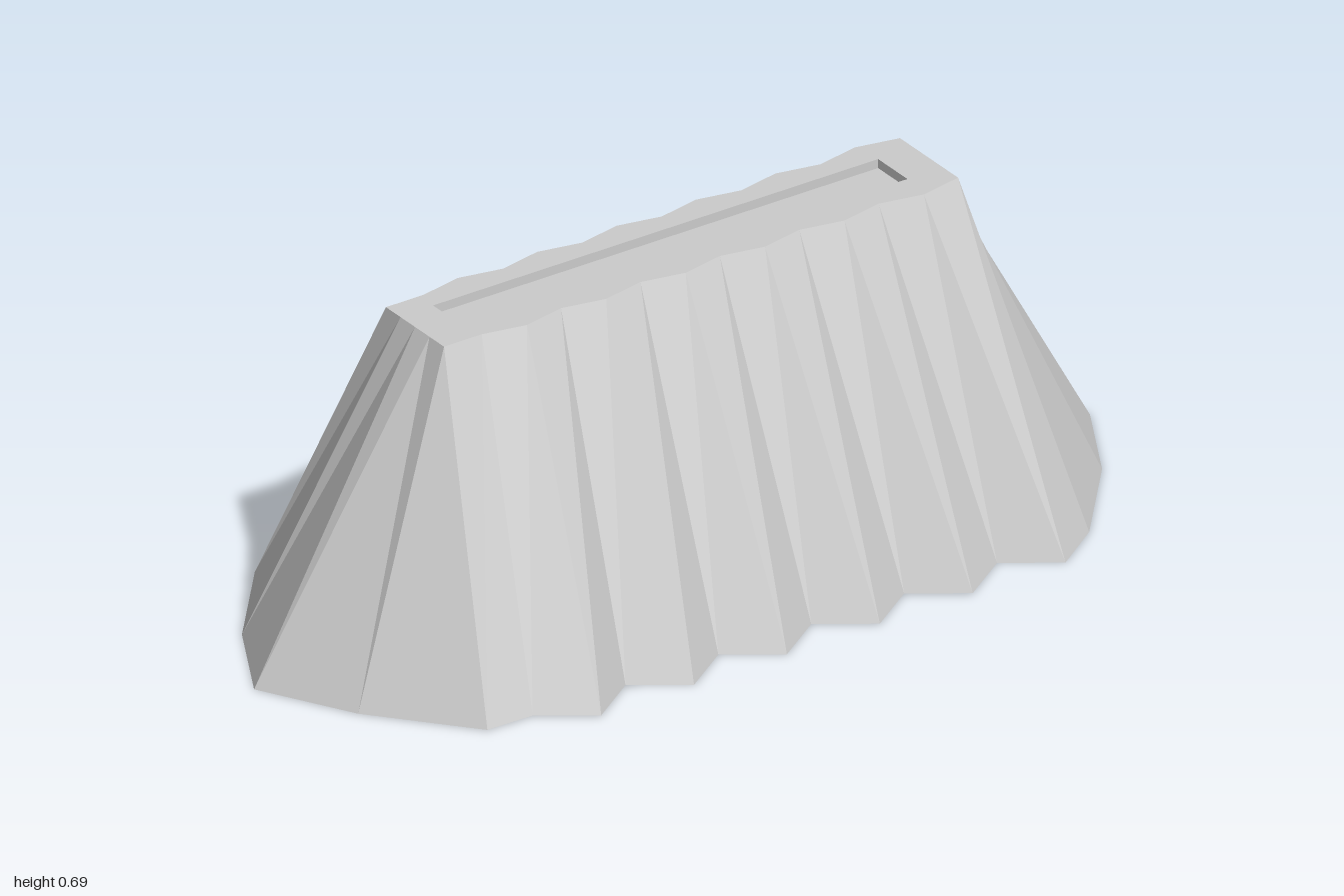
import * as THREE from 'three';

const HEIGHT = 0.69;
const material = new THREE.MeshStandardMaterial({ color: 0xcccccc, flatShading: true });

// Faceted wall between two loops of [x, z] points, counter-clockwise from above
function loft(a, ya, b, yb) {
  const pos = [];
  a.forEach((p, i) => {
    const j = (i + 1) % a.length;
    const A = [a[i][0], ya, a[i][1]], B = [a[j][0], ya, a[j][1]];
    const C = [b[j][0], yb, b[j][1]], D = [b[i][0], yb, b[i][1]];
    pos.push(...A, ...B, ...C, ...A, ...C, ...D);
  });
  const geo = new THREE.BufferGeometry();
  geo.setAttribute('position', new THREE.Float32BufferAttribute(pos, 3));
  geo.computeVertexNormals();
  return geo;
}

// Horizontal face filling a loop, optionally with a hole or facing down
function cap(loop, y, { hole, down = false } = {}) {
  const s = down ? 1 : -1;
  const points = (l) => l.map(([x, z]) => new THREE.Vector2(x, s * z));
  const shape = new THREE.Shape(points(loop));
  if (hole) shape.holes.push(new THREE.Path(points(hole)));
  return new THREE.ShapeGeometry(shape).rotateX(s * Math.PI / 2).translate(0, y, 0);
}

// Mirror a front half (running from -x to +x) into a closed loop
function closeLoop(front) {
  const back = front.slice(1, -1).reverse().map(([x, z]) => [x, -z]);
  return [...front, ...back];
}

const rect = (x0, x1, z0, z1) => [[x0, z1], [x1, z1], [x1, z0], [x0, z0]];

export function createModel() {
  const group = new THREE.Group();
  const add = (name, geo) => {
    const mesh = new THREE.Mesh(geo, material);
    mesh.name = name;
    group.add(mesh);
  };

  // Pleated outlines: pointed ends below, square ends on top
  const baseFront = [[-1, 0], [-0.89, 0.2], [-0.72, 0.4]];
  const topFront = [[-0.615, 0], [-0.615, 0.05], [-0.615, 0.1]];
  for (let i = 0; i < 13; i++) {
    const peak = i % 2 === 1;
    baseFront.push([-0.613 + i * 0.1111, peak ? 0.478 : 0.402]);
    topFront.push([-0.525 + i * 0.095, peak ? 0.119 : 0.1]);
  }
  // The last pleat ends on the corner of the end facets
  baseFront.splice(-1, 1, [0.72, 0.4], [0.89, 0.2], [1, 0]);
  topFront.splice(-1, 1, [0.615, 0.1], [0.615, 0.05], [0.615, 0]);
  const base = closeLoop(baseFront);
  const top = closeLoop(topFront);

  // Shallow slot with a slope on its front and right sides
  const rim = rect(-0.535, 0.53, -0.053, 0.048);
  const bed = rect(-0.517, 0.53, -0.053, 0.027);
  const bedY = HEIGHT - 0.02;

  add('pleatedWall', loft(base, 0, top, HEIGHT));
  add('topFace', cap(top, HEIGHT, { hole: rim }));
  add('bottomFace', cap(base, 0, { down: true }));
  add('slotWall', loft(rim, HEIGHT, bed, bedY));
  add('slotFloor', cap(bed, bedY));
  return group;
}
